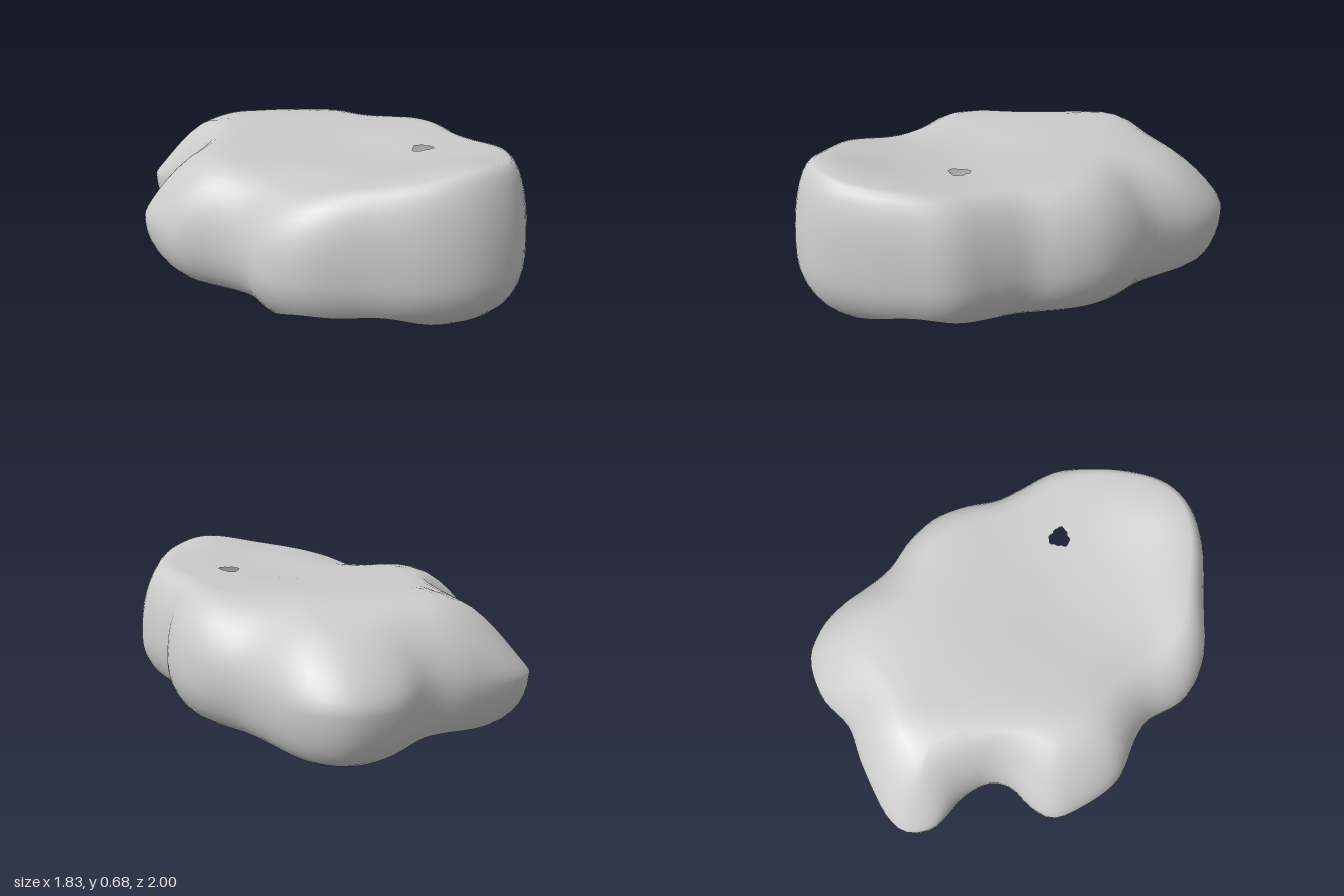
import * as THREE from 'three';

const SEG = 132;          // points around the outline
const BELLY = 0.25;       // height of the widest ring
const HOLE = new THREE.Vector2(0.45, 0.25);

// widest plan outline (x, z), clockwise from the back
const OUTLINE = [
  [-0.05, -1], [0.1, -0.96], [0.22, -0.86], [0.3, -0.75], [0.4, -0.63], [0.55, -0.53],
  [0.67, -0.4], [0.73, -0.25], [0.755, -0.08], [0.82, 0.05], [0.91, 0.23], [0.9, 0.45],
  [0.87, 0.62], [0.79, 0.82], [0.62, 0.95], [0.42, 0.995], [0.18, 0.985], [-0.1, 0.965],
  [-0.27, 0.87], [-0.38, 0.68], [-0.48, 0.61], [-0.67, 0.52], [-0.8, 0.34], [-0.85, 0.2],
  [-0.8, 0.1], [-0.7, 0], [-0.68, -0.1], [-0.75, -0.23], [-0.89, -0.36], [-0.91, -0.49],
  [-0.84, -0.58], [-0.6, -0.71], [-0.4, -0.79], [-0.25, -0.93],
];

const { clamp, lerp } = THREE.MathUtils;
const bump = (x, z, cx, cz, r) => Math.exp(-((x - cx) ** 2 + (z - cz) ** 2) / (r * r));

// height of the gently uneven top
function topHeight(x, z) {
  return 0.6 - 0.45 * Math.max(0, -z - 0.35) ** 2 - 1.1 * Math.max(0, -x - 0.42) ** 2
    + 0.075 * bump(x, z, 0.6, 0.84, 0.26)
    + 0.035 * bump(x, z, 0.8, 0.5, 0.3)
    + 0.02 * bump(x, z, 0.25, 0.85, 0.25)
    - 0.06 * bump(x, z, -0.28, 0.72, 0.28)
    - 0.04 * bump(x, z, 0.32, -0.58, 0.18)
    - 0.025 * bump(x, z, 0.1, 0.25, 0.3);
}

// lower edge, arched at the front, the left and the back right
function rimHeight(x, z) {
  return 0.018 + 0.075 * (bump(x, z, -0.12, 0.97, 0.2) + bump(x, z, 0.22, 0.98, 0.2))
    + 0.085 * bump(x, z, 0.9, 0.4, 0.28) + 0.04 * bump(x, z, -0.45, -0.77, 0.25)
    - 0.018 * bump(x, z, 0, -1, 0.2);
}

// sharp shoulder at the front left, soft at the back and right
const shoulder = (x, z) =>
  lerp(0.3, 0.1, clamp((x * 0.6 + z * 0.6 + 0.3) / 1.2, 0, 1))
  - 0.08 * bump(x, z, -0.72, -0.15, 0.15);

// relax a closed ring of points
function smoothRing(points, passes) {
  let ring = points;
  for (let k = 0; k < passes; k++) {
    ring = ring.map((p, i) => p.clone().multiplyScalar(2)
      .add(ring[(i + 1) % SEG]).add(ring[(i + SEG - 1) % SEG]).multiplyScalar(0.25));
  }
  return ring;
}

function createShell() {
  const curve = new THREE.CatmullRomCurve3(
    OUTLINE.map(([x, z]) => new THREE.Vector3(x, 0, z)), true);
  const belly = [], shoulders = [], foot = [];
  for (let i = 0; i < SEG; i++) {
    const p = curve.getPointAt(i / SEG);
    const t = curve.getTangentAt(i / SEG);
    const pos = new THREE.Vector2(p.x, p.z);
    const dir = HOLE.clone().sub(pos).normalize().add(new THREE.Vector2(-t.z, t.x)).normalize();
    const tuck = lerp(0.1, 0.2, clamp((p.z + 1) / 0.6, 0, 1));
    belly.push(pos);
    shoulders.push(pos.clone().addScaledVector(dir, shoulder(p.x, p.z)));
    foot.push(pos.clone().addScaledVector(dir, tuck));
  }
  const top = smoothRing(shoulders, 14);
  const base = smoothRing(foot, 14);
  const rows = [];
  const addRow = (fn) => rows.push(belly.map(fn));

  // underside curve, cut off at the wavy rim
  for (let k = 6; k > 0; k--) {
    addRow((p, i) => {
      const cut = Math.asin(clamp((BELLY - rimHeight(p.x, p.y)) / BELLY, 0, 1));
      const a = (k / 6) * cut;
      const q = p.clone().lerp(base[i], 1 - Math.cos(a));
      return [q.x, BELLY * (1 - Math.sin(a)), q.y];
    });
  }
  // rounded shoulder from the belly to the top
  for (let k = 0; k <= 9; k++) {
    const a = (k / 9) * Math.PI * 0.5;
    addRow((p, i) => {
      const q = p.clone().lerp(top[i], 1 - Math.cos(a));
      return [q.x, BELLY + (topHeight(q.x, q.y) - BELLY) * Math.sin(a), q.y];
    });
  }
  // top surface closing in on the small ragged hole
  for (let k = 1; k <= 12; k++) {
    addRow((p, i) => {
      const ang = Math.atan2(top[i].y - HOLE.y, top[i].x - HOLE.x);
      const r = 0.047 + 0.007 * Math.sin(ang * 3 + 1) + 0.003 * Math.sin(ang * 8);
      const end = new THREE.Vector2(HOLE.x + r * Math.cos(ang), HOLE.y + r * Math.sin(ang));
      const q = top[i].clone().lerp(end, k / 12);
      return [q.x, topHeight(q.x, q.y), q.y];
    });
  }

  const index = [];
  for (let r = 0; r < rows.length - 1; r++) {
    for (let i = 0; i < SEG; i++) {
      const j = (i + 1) % SEG;
      const a = r * SEG + i, b = r * SEG + j, c = a + SEG, d = b + SEG;
      index.push(a, c, b, b, c, d);
    }
  }
  const geometry = new THREE.BufferGeometry();
  geometry.setAttribute('position', new THREE.Float32BufferAttribute(rows.flat(2), 3));
  geometry.setIndex(index);
  geometry.computeVertexNormals();
  return geometry;
}

export function createModel() {
  const group = new THREE.Group();
  group.name = 'hollowRock';
  const shell = new THREE.Mesh(createShell(),
    new THREE.MeshStandardMaterial({ color: 0xcccccc, side: THREE.DoubleSide }));
  shell.name = 'rockShell';
  group.add(shell);
  return group;
}
